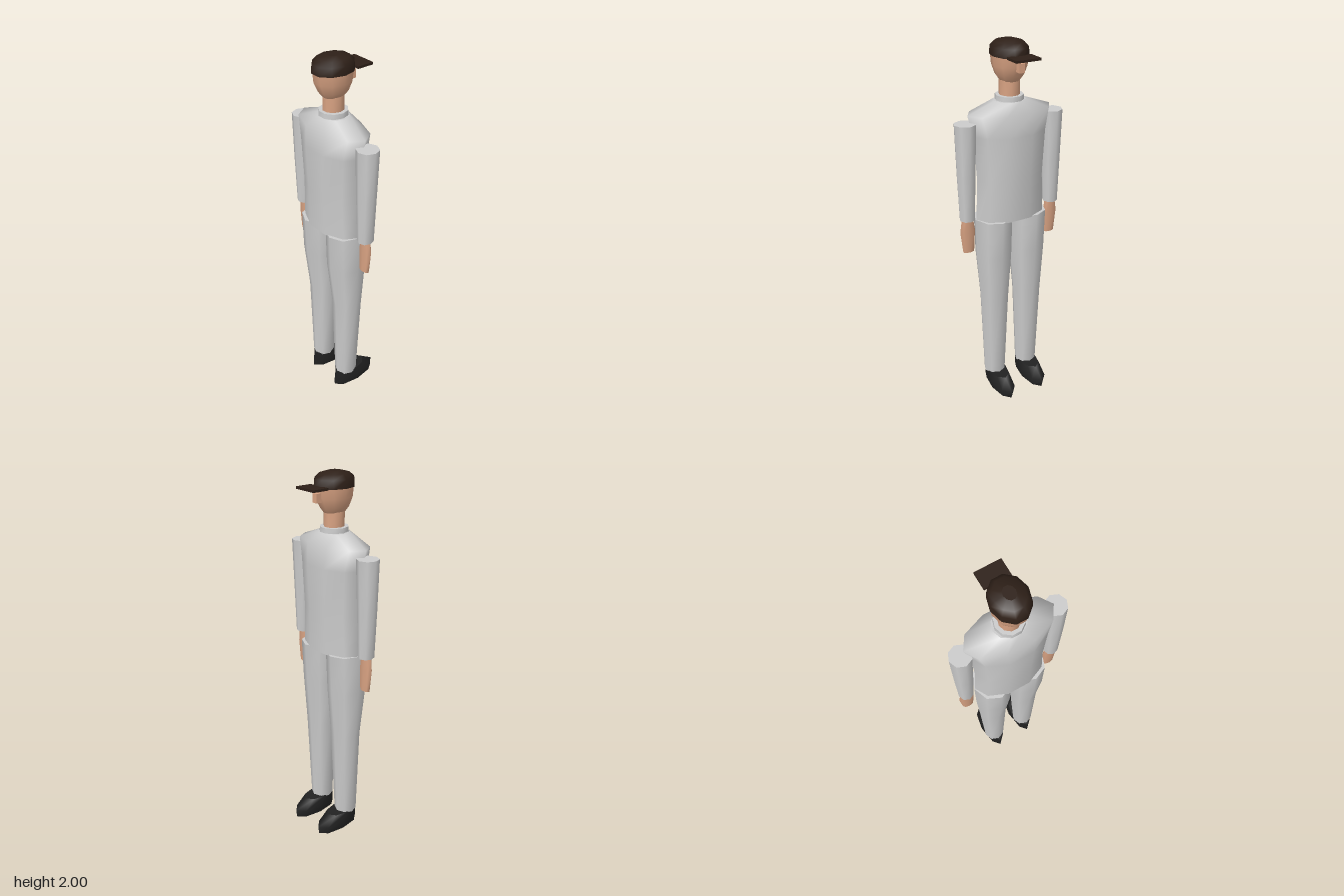
import * as THREE from 'three';

const material = (color) => new THREE.MeshStandardMaterial({ color, side: THREE.DoubleSide });

// Stacked elliptical rings, bottom to top: [y, cx, cz, rx, rz]; smooth sides, flat capped ends
function loft(rings, sides) {
  const pos = [], idx = [];
  const addRing = ([y, cx, cz, rx, rz]) => {
    for (let i = 0; i < sides; i++) {
      const a = (i / sides) * Math.PI * 2;
      pos.push(cx + rx * Math.cos(a), y, cz + rz * Math.sin(a));
    }
  };
  rings.forEach(addRing);
  for (let r = 0; r < rings.length - 1; r++) {
    for (let i = 0; i < sides; i++) {
      const j = (i + 1) % sides, a = r * sides, b = a + sides;
      idx.push(a + i, b + i, a + j, a + j, b + i, b + j);
    }
  }
  [rings[0], rings[rings.length - 1]].forEach((ring, top) => {
    const s = pos.length / 3;
    addRing(ring);
    for (let i = 1; i < sides - 1; i++) {
      if (top) idx.push(s, s + i + 1, s + i);
      else idx.push(s, s + i, s + i + 1);
    }
  });
  const g = new THREE.BufferGeometry();
  g.setAttribute('position', new THREE.Float32BufferAttribute(pos, 3));
  g.setIndex(idx);
  g.computeVertexNormals();
  return g;
}

export function createModel() {
  const model = new THREE.Group();
  const cloth = material(0xcccccc), skin = material(0xd8a282);
  const dark = material(0x2e2018), leather = material(0x222222);

  const add = (name, geometry, mat) => {
    const mesh = new THREE.Mesh(geometry, mat);
    mesh.name = name;
    model.add(mesh);
    return mesh;
  };
  const box = (name, w, h, d, x, y, z, mat) =>
    add(name, new THREE.BoxGeometry(w, h, d), mat).position.set(x, y, z);

  // Torso with sloping shoulders
  add('torso', loft([
    [1.08, 0, 0.038, 0.2, 0.116],
    [1.3, 0, 0.038, 0.19, 0.121],
    [1.54, 0, 0.038, 0.205, 0.129],
    [1.65, 0, 0.038, 0.235, 0.118],
    [1.705, 0, 0.038, 0.085, 0.076],
  ], 10), cloth);

  // Collar, neck and head
  add('collar', loft([[1.7, 0, 0.038, 0.074, 0.076], [1.73, 0, 0.038, 0.072, 0.074]], 10), cloth);
  add('neck', loft([[1.71, 0, 0.038, 0.052, 0.055], [1.82, 0, 0.038, 0.052, 0.055]], 10), skin);
  add('head', loft([
    [1.8, 0, 0.038, 0.048, 0.058],
    [1.83, 0, 0.038, 0.07, 0.08],
    [1.875, 0, 0.038, 0.085, 0.1],
    [1.93, 0, 0.038, 0.09, 0.106],
  ], 10), skin);
  box('nose', 0.03, 0.045, 0.035, 0, 1.88, -0.068, skin);

  // Cap with a flat brim
  add('cap', loft([
    [1.923, 0, 0.038, 0.092, 0.112],
    [1.965, 0, 0.038, 0.09, 0.109],
    [1.988, 0, 0.038, 0.07, 0.083],
    [2.0, 0, 0.038, 0.03, 0.036],
  ], 10), dark);
  box('brim', 0.134, 0.012, 0.09, 0, 1.929, -0.101, dark);

  // Limbs, mirrored left and right
  for (const [side, s] of [['left', 1], ['right', -1]]) {
    add(side + 'Arm', loft([
      [1.1, s * 0.253, 0.038, 0.04, 0.043],
      [1.35, s * 0.252, 0.038, 0.05, 0.05],
      [1.615, s * 0.251, 0.036, 0.057, 0.058],
    ], 8), cloth);
    add(side + 'Hand', loft([
      [0.912, s * 0.25, 0.038, 0.032, 0.017],
      [1.03, s * 0.253, 0.038, 0.043, 0.019],
      [1.105, s * 0.253, 0.038, 0.032, 0.019],
    ], 8), skin);
    add(side + 'Leg', loft([
      [0.095, s * 0.104, 0.04, 0.06, 0.062],
      [0.6, s * 0.103, 0.034, 0.082, 0.077],
      [0.87, s * 0.102, 0.04, 0.099, 0.104],
      [1.085, s * 0.102, 0.038, 0.102, 0.113],
    ], 8), cloth);
    add(side + 'Shoe', loft([
      [0, s * 0.102, -0.017, 0.05, 0.137],
      [0.045, s * 0.102, -0.02, 0.06, 0.141],
      [0.1, s * 0.102, 0.013, 0.055, 0.102],
    ], 8), leather);
  }
  return model;
}
